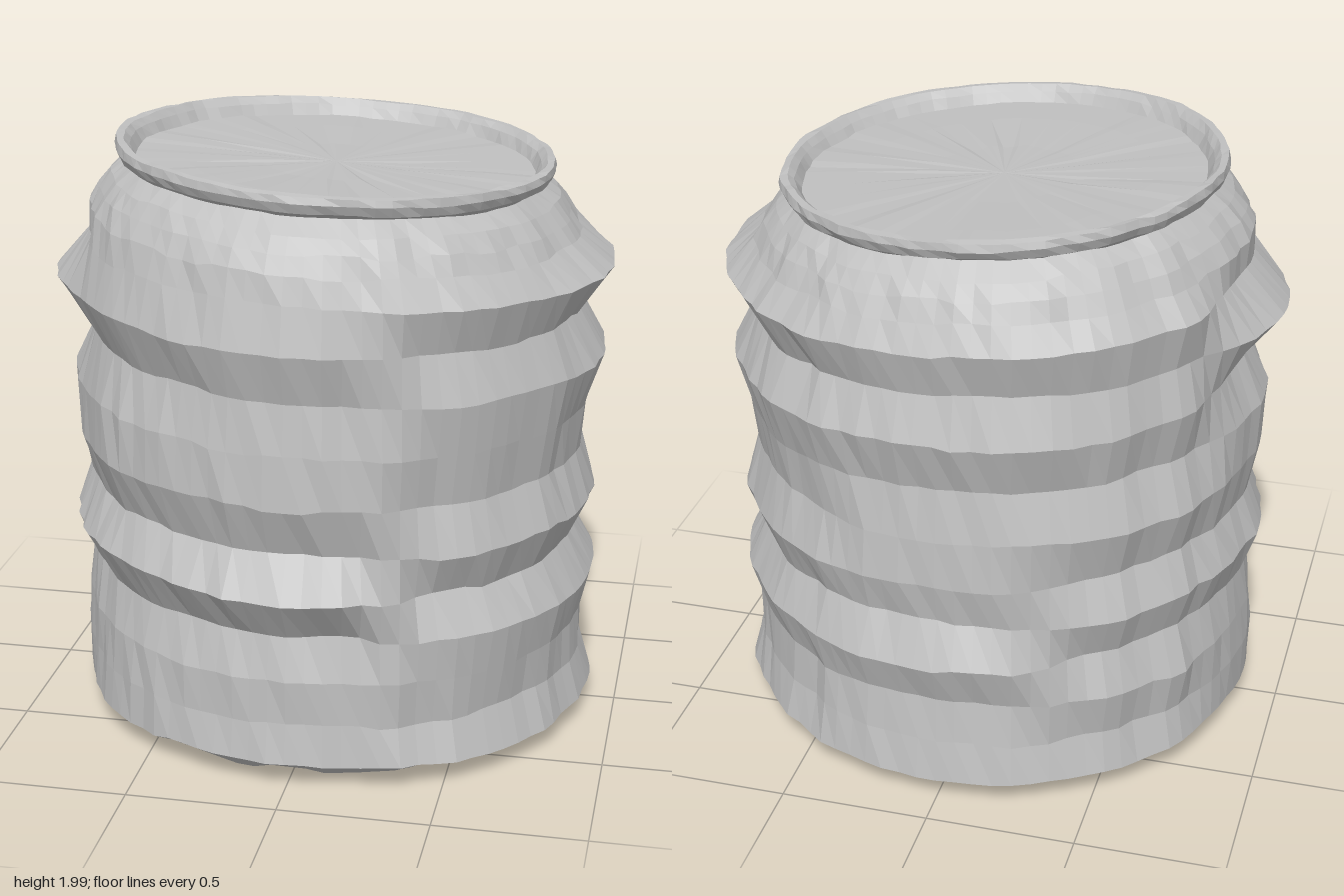
import * as THREE from 'three';

const SEGMENTS = 88;

// Heights of the fold lines, and their radii seen in eight directions (+x, then towards +z)
const FOLD_Y = [0.09, 0.23, 0.38, 0.53, 0.675, 0.82, 0.985, 1.16, 1.33, 1.49, 1.64];
const FOLD_R = [
  [0.91, 0.87, 0.87, 0.91, 0.83, 0.90, 0.85, 0.87, 0.92, 0.84, 0.94],
  [0.90, 0.86, 0.88, 0.90, 0.83, 0.89, 0.84, 0.87, 0.89, 0.84, 0.89],
  [0.87, 0.85, 0.85, 0.81, 0.91, 0.82, 0.88, 0.87, 0.84, 0.89, 0.85],
  [0.88, 0.87, 0.86, 0.82, 0.90, 0.83, 0.89, 0.88, 0.83, 0.90, 0.85],
  [0.88, 0.88, 0.87, 0.85, 0.90, 0.85, 0.88, 0.89, 0.82, 0.95, 0.82],
  [0.89, 0.86, 0.89, 0.84, 0.89, 0.84, 0.89, 0.84, 0.89, 0.85, 0.89],
  [0.90, 0.88, 0.86, 0.91, 0.84, 0.87, 0.86, 0.83, 0.88, 0.83, 0.87],
  [0.90, 0.87, 0.86, 0.90, 0.84, 0.89, 0.84, 0.86, 0.90, 0.83, 0.90],
];

// Repeatable noise in -1..1
function noise(a, b) {
  const s = Math.sin(a * 12.9898 + b * 78.233) * 43758.5453;
  return (s - Math.floor(s)) * 2 - 1;
}

// Fold radius at a column, changing quickly between directions to leave creases
function foldRadius(row, column) {
  const t = (column / SEGMENTS) * 8;
  const k = Math.floor(t) % 8;
  const f = THREE.MathUtils.smoothstep(t - Math.floor(t), 0.2, 0.8);
  return THREE.MathUtils.lerp(FOLD_R[k][row], FOLD_R[(k + 1) % 8][row], f);
}

// A ring is { r: radius or function of column, y, rough }; the can leans with height
function ringPoint(ring, column) {
  const i = column % SEGMENTS;
  const angle = (i / SEGMENTS) * Math.PI * 2;
  const base = typeof ring.r === 'function' ? ring.r(i) : ring.r;
  const streak = 0.6 * noise(Math.floor(i / 2), 3) + 0.5 * noise(i, ring.y * 10);
  const r = base === 0 ? 0 : base + ring.rough * streak;
  const x = r * Math.cos(angle);
  const z = r * Math.sin(angle);
  const lift = base === 0 ? 0 : ring.rough * 0.6 * noise(Math.floor(i / 3), ring.y * 7 + 1);
  return [x, Math.max(0, ring.y + lift - 0.027 * x * ring.y), z];
}

// Skin between successive rings, ordered from the bottom centre outwards and up
function loft(name, rings, material) {
  const points = [];
  for (let j = 0; j < rings.length - 1; j++) {
    for (let i = 0; i < SEGMENTS; i++) {
      const a = ringPoint(rings[j], i);
      const b = ringPoint(rings[j], i + 1);
      const c = ringPoint(rings[j + 1], i + 1);
      const d = ringPoint(rings[j + 1], i);
      if (rings[j + 1].r !== 0) points.push(...a, ...d, ...c);
      if (rings[j].r !== 0) points.push(...a, ...c, ...b);
    }
  }
  const geometry = new THREE.BufferGeometry();
  geometry.setAttribute('position', new THREE.Float32BufferAttribute(points, 3));
  geometry.computeVertexNormals();
  const mesh = new THREE.Mesh(geometry, material);
  mesh.name = name;
  return mesh;
}

const ring = (r, y, rough) => ({ r, y, rough });

export function createModel() {
  const metal = new THREE.MeshStandardMaterial({ color: 0xc0c0c0, flatShading: true });
  metal.name = 'grey metal';

  const folds = FOLD_Y.map((y, row) => ring((i) => foldRadius(row, i), y, 0.012));
  const neck = ring(0.695, 1.885, 0.006);
  const lidEdge = ring(0.665, 1.9, 0.006);

  const group = new THREE.Group();
  group.name = 'crumpledCan';
  group.add(
    // Domed underside, foot ring and bevel up to the wall
    loft('base', [
      ring(0, 0.11, 0), ring(0.25, 0.11, 0.008), ring(0.46, 0.09, 0.012),
      ring(0.57, 0.03, 0.012), ring(0.62, 0.012, 0.012), ring(0.72, 0.018, 0.014),
      ring(0.81, 0.05, 0.014), folds[0],
    ], metal),
    // Accordion-folded side
    loft('wall', folds, metal),
    // Tapering shoulder
    loft('shoulder', [
      folds[folds.length - 1], ring(0.825, 1.73, 0.012), ring(0.79, 1.79, 0.012),
      ring(0.75, 1.84, 0.01), neck,
    ], metal),
    // Raised rolled rim
    loft('rim', [
      neck, ring(0.72, 1.9, 0.006), ring(0.735, 1.93, 0.006), ring(0.73, 1.955, 0.006),
      ring(0.705, 1.957, 0.006), ring(0.685, 1.935, 0.006), lidEdge,
    ], metal),
    // Slightly uneven recessed lid
    loft('lid', [
      lidEdge, ring(0.5, 1.9, 0.006), ring(0.25, 1.895, 0.006), ring(0, 1.895, 0),
    ], metal),
  );
  return group;
}
